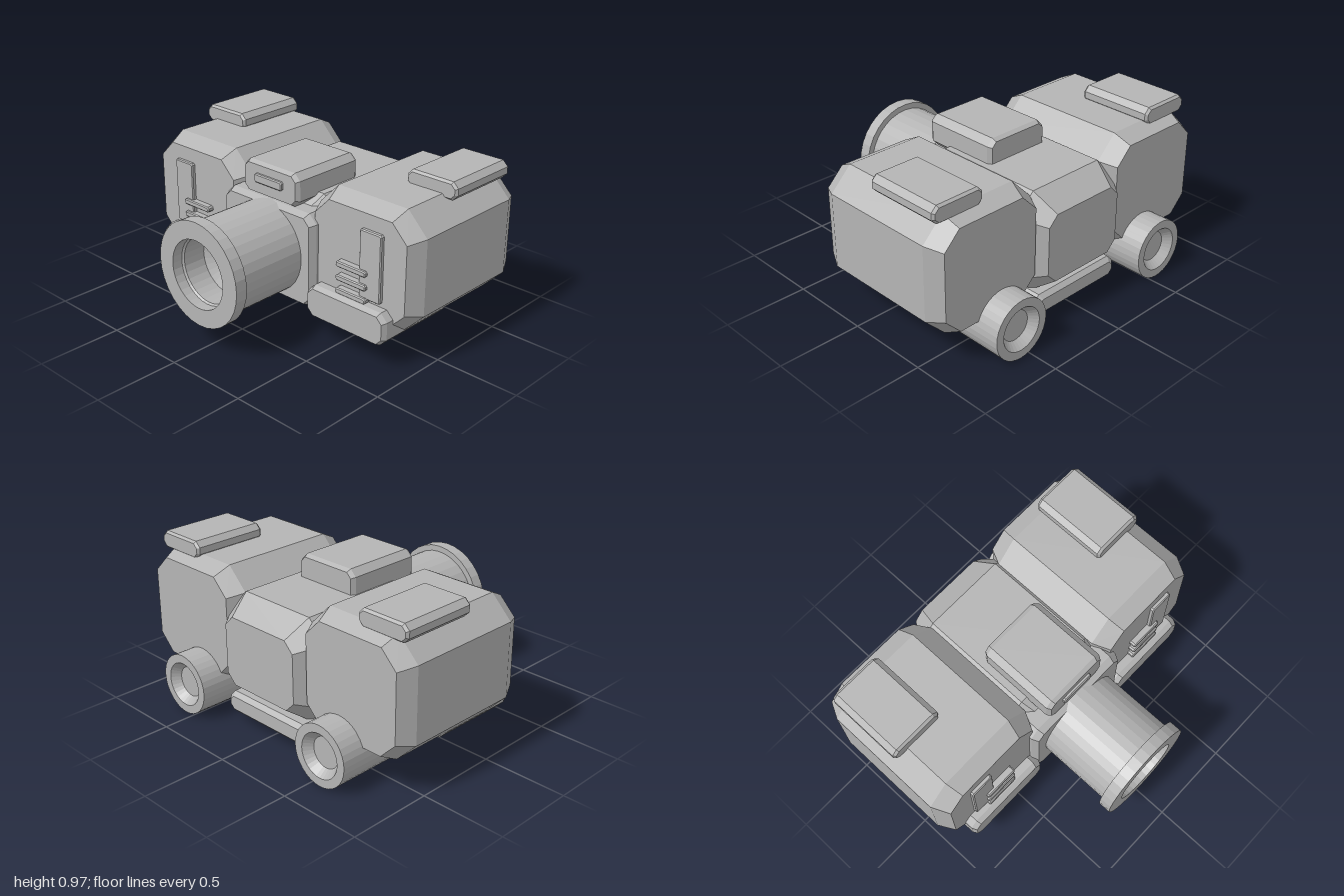
import * as THREE from 'three';

const grey = new THREE.MeshStandardMaterial({ color: 0xb4b4b4, flatShading: true });
grey.name = 'plain grey';

// Octagonal block given by its extents: cut = long corner chamfer,
// inset/taper = how far the two end faces shrink and how deep the slope runs along z.
function block(name, [x0, x1], [y0, y1], [z0, z1], cut, inset = cut, taper = cut) {
  const w = (x1 - x0) / 2 - inset, h = (y1 - y0) / 2 - inset, c = cut;
  const outline = new THREE.Shape([
    [w, -h + c], [w, h - c], [w - c, h], [-w + c, h],
    [-w, h - c], [-w, -h + c], [-w + c, -h], [w - c, -h],
  ].map(([x, y]) => new THREE.Vector2(x, y)));
  const geometry = new THREE.ExtrudeGeometry(outline, {
    depth: z1 - z0 - 2 * taper, bevelEnabled: true, bevelSegments: 1,
    bevelSize: inset, bevelThickness: taper,
  });
  geometry.translate((x0 + x1) / 2, (y0 + y1) / 2, z0 + taper);
  const mesh = new THREE.Mesh(geometry, grey);
  mesh.name = name;
  return mesh;
}

// Turned part along z from [radius, z] pairs
function turned(name, profile, x, y) {
  const points = profile.map(([r, z]) => new THREE.Vector2(r, z));
  const geometry = new THREE.LatheGeometry(points, 32);
  geometry.rotateX(Math.PI / 2);
  const mesh = new THREE.Mesh(geometry, grey);
  mesh.name = name;
  mesh.position.set(x, y, 0);
  return mesh;
}

export function createModel() {
  const model = new THREE.Group();
  model.name = 'camera';

  // Central body, lens plate and underside plate
  model.add(
    block('centralBody', [-0.37, 0.37], [0.17, 0.78], [-0.72, 0.24], 0.06, 0.1, 0.14),
    block('lensPlate', [-0.345, 0.345], [0.17, 0.725], [0.1, 0.3], 0.04, 0.02, 0.04),
    block('bottomPlate', [-0.32, 0.32], [0.06, 0.19], [-0.69, -0.02], 0.025),
  );

  // Flash housing with its small window
  model.add(
    block('flashHousing', [-0.21, 0.21], [0.725, 0.92], [-0.22, 0.27], 0.03, 0.015, 0.025),
    block('flashWindow', [-0.105, 0.105], [0.805, 0.857], [0.25, 0.288], 0.006),
  );

  // Hollow lens barrel with wide front rim and recessed glass
  model.add(turned('lens', [
    [0.27, 0.25], [0.27, 0.74], [0.305, 0.74], [0.305, 0.813],
    [0.2, 0.813], [0.2, 0.75], [0.19, 0.74], [0.19, 0.6],
    [0.105, 0.56], [0.04, 0.54], [0, 0.54],
  ], 0, 0.456));

  for (const s of [-1, 1]) {
    const side = new THREE.Group();
    side.name = s > 0 ? 'leftSide' : 'rightSide';
    const span = (a, b) => (s > 0 ? [a, b] : [-b, -a]);

    // Large side pod, top pad and front foot
    side.add(
      block('sidePod', span(0.27, 1), [0.19, 0.89], [-0.67, 0.245], 0.1, 0.05, 0.1),
      block('topPad', span(0.63, 0.96), [0.863, 0.967], [-0.608, -0.135], 0.025, 0.012, 0.015),
      block('frontFoot', span(0.325, 0.878), [0.147, 0.338], [-0.225, 0.322], 0.035, 0.015, 0.03),
    );

    // Raised strip and three vent bars on the front
    side.add(block('frontStrip', span(0.655, 0.802), [0.36, 0.755], [0.22, 0.268], 0.006));
    for (const y of [0.51, 0.43, 0.352]) {
      side.add(block('ventBar', span(0.505, 0.715), [y - 0.017, y + 0.017], [0.22, 0.286], 0.006));
    }

    // Round tube below, with a recessed disc in both ends
    side.add(turned('lowerTube', [
      [0, -0.765], [0.09, -0.765], [0.13, -0.813], [0.18, -0.813],
      [0.18, -0.165], [0.13, -0.165], [0.09, -0.215], [0, -0.215],
    ].map(([r, z]) => [r, z]), s * 0.56, 0.18));
    model.add(side);
  }
  return model;
}
